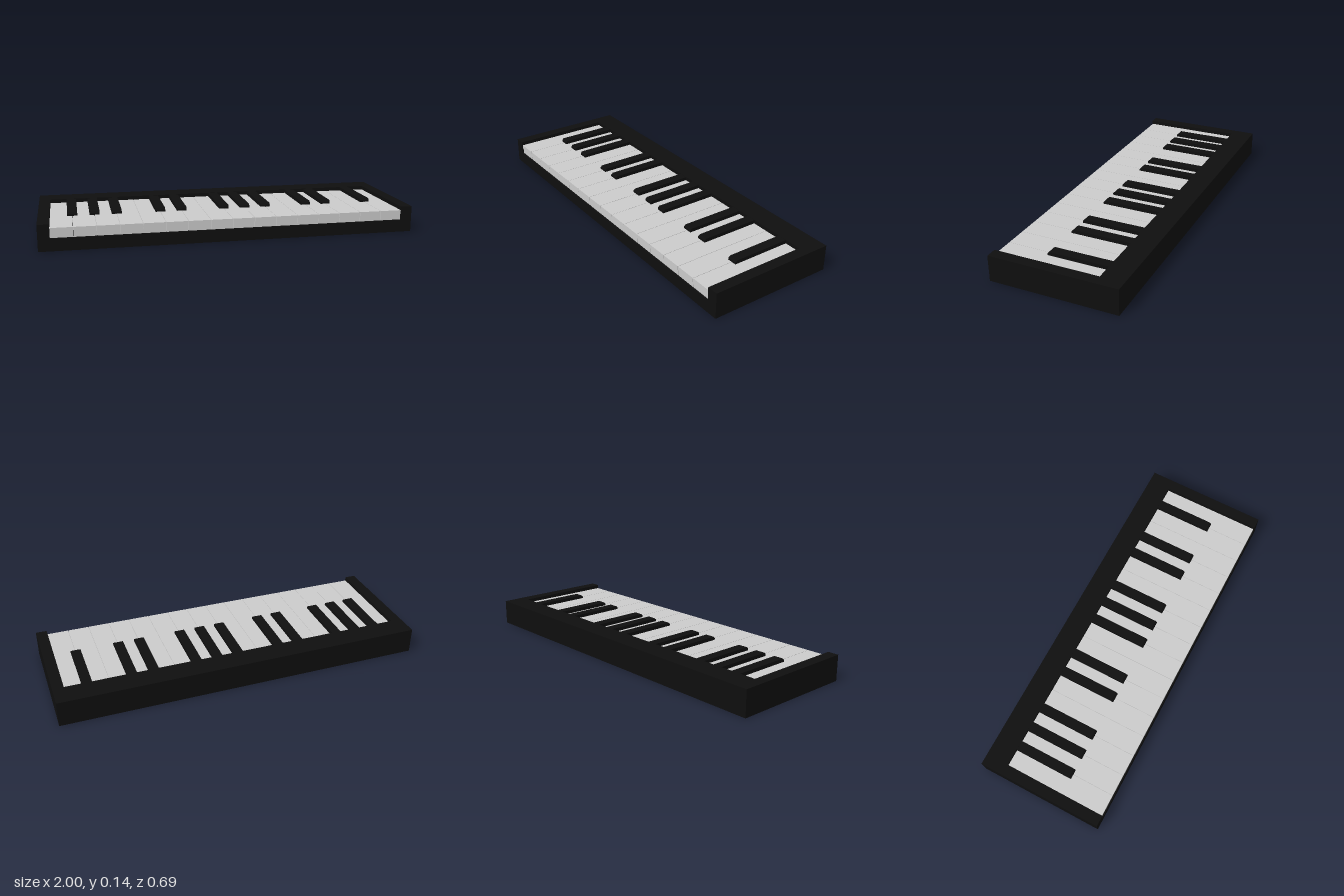
import * as THREE from 'three';

export function createModel() {
  const model = new THREE.Group();
  model.name = 'keyboard';

  const black = new THREE.MeshStandardMaterial({ color: 0x0e0e0e });
  black.name = 'black';
  const white = new THREE.MeshStandardMaterial({ color: 0xcacaca });
  white.name = 'keyWhite';

  // Box given by its min and max corners
  function box(parent, name, material, [x0, y0, z0], [x1, y1, z1]) {
    const geometry = new THREE.BoxGeometry(x1 - x0, y1 - y0, z1 - z0);
    geometry.translate((x0 + x1) / 2, (y0 + y1) / 2, (z0 + z1) / 2);
    const mesh = new THREE.Mesh(geometry, material);
    mesh.name = name;
    parent.add(mesh);
  }

  const depth = 0.345, height = 0.14, bed = 0.067;
  const inner = 0.94, keyBack = -0.22, keyFront = 0.341, keyTop = 0.12;

  // Case: bed, rear block and two end cheeks
  const body = new THREE.Group();
  body.name = 'case';
  model.add(body);
  box(body, 'keyBed', black, [-1, 0, -depth], [1, bed, depth]);
  box(body, 'rearBlock', black, [-inner, bed, -depth], [inner, height, keyBack]);
  box(body, 'rightCheek', black, [-1, bed, -depth], [-inner, height, depth]);
  box(body, 'leftCheek', black, [inner, bed, -depth], [1, height, depth]);

  // White keys: a top plate that slightly overhangs the key front
  const count = 16, pitch = 2 * inner / count, gap = 0.001;
  const whiteKeys = new THREE.Group();
  whiteKeys.name = 'whiteKeys';
  model.add(whiteKeys);
  for (let i = 0; i < count; i++) {
    const x0 = -inner + i * pitch + gap, x1 = x0 + pitch - 2 * gap;
    box(whiteKeys, 'whiteKeyTop', white, [x0, 0.098, keyBack], [x1, keyTop, keyFront]);
    box(whiteKeys, 'whiteKeyFront', white, [x0, bed, keyBack], [x1, 0.098, keyFront - 0.004]);
  }

  // Black keys: side profile with a chamfered front, over the joints of the white keys
  const profile = new THREE.Shape([
    new THREE.Vector2(0.22, 0.1),
    new THREE.Vector2(-0.107, 0.1),
    new THREE.Vector2(-0.107, 0.13),
    new THREE.Vector2(-0.097, height - 0.001),
    new THREE.Vector2(0.22, height - 0.001),
  ].reverse());
  const keyWidth = 0.053;
  const blackKey = new THREE.ExtrudeGeometry(profile, { depth: keyWidth, bevelEnabled: false });
  blackKey.translate(0, 0, -keyWidth / 2);
  blackKey.rotateY(Math.PI / 2); // profile +x now points to the rear
  const blackKeys = new THREE.Group();
  blackKeys.name = 'blackKeys';
  model.add(blackKeys);
  for (const joint of [1, 2, 3, 5, 6, 8, 9, 10, 12, 13, 15]) {
    const mesh = new THREE.Mesh(blackKey, black);
    mesh.name = 'blackKey';
    mesh.position.x = -inner + joint * pitch;
    blackKeys.add(mesh);
  }

  return model;
}
